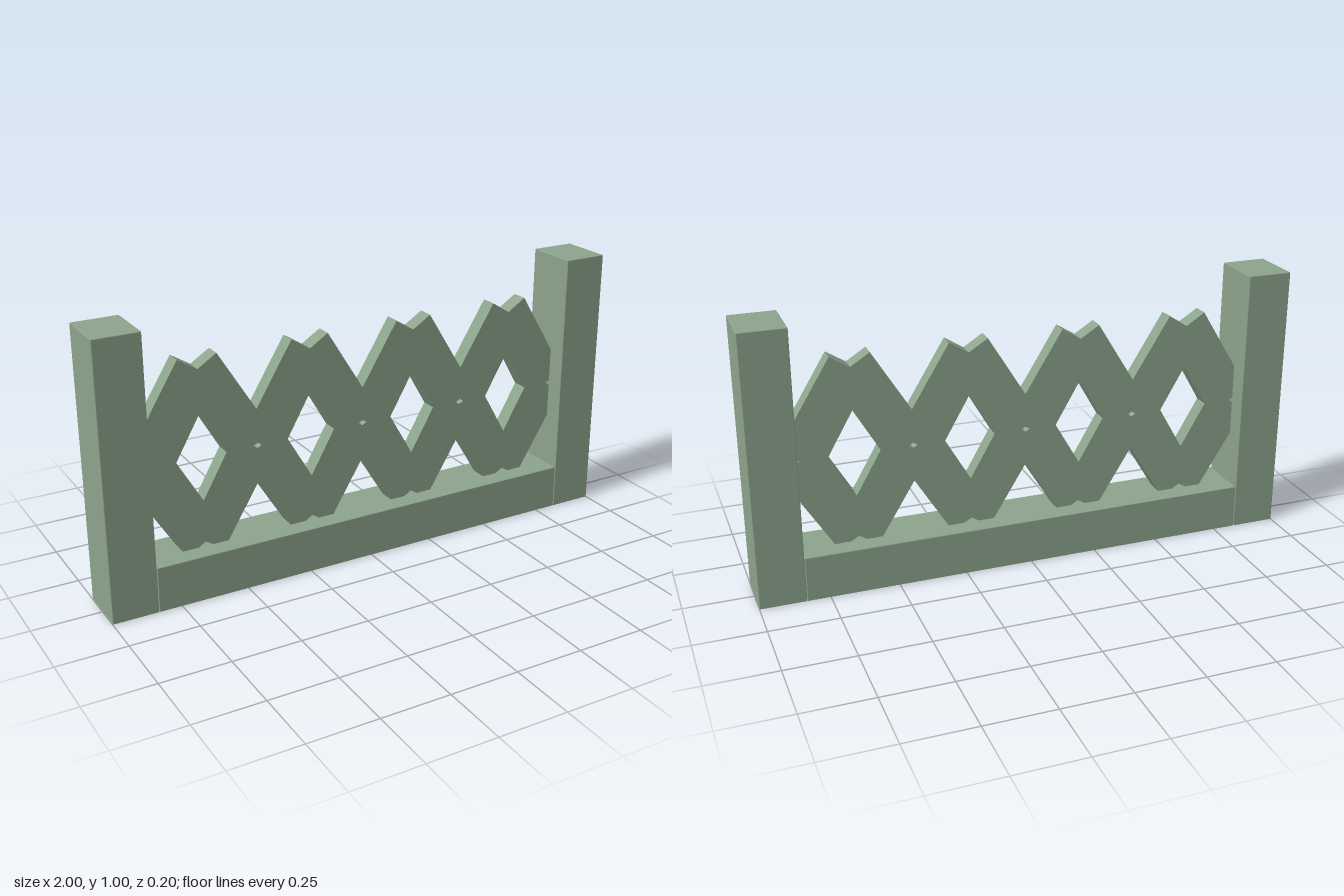
import * as THREE from 'three';
import { RoundedBoxGeometry } from 'three/addons/geometries/RoundedBoxGeometry.js';

const CELLS = 4;
const INNER = 0.833; // half width between the posts
const PITCH = (2 * INNER) / CELLS;
const MID = 0.5; // height of the lattice centre line
const THICKNESS = 0.06;

function diamond(x, halfWidth, halfHeight) {
  const hole = new THREE.Path();
  hole.moveTo(x - halfWidth, MID);
  hole.lineTo(x, MID - halfHeight);
  hole.lineTo(x + halfWidth, MID);
  hole.lineTo(x, MID + halfHeight);
  hole.closePath();
  return hole;
}

// Crossed slats as one pierced outline, mirrored about the centre line
function latticeGeometry() {
  const upper = [];
  const holes = [];
  for (let i = 0; i < CELLS; i++) {
    const c = -INNER + PITCH * (i + 0.5);
    upper.push([c - PITCH / 2, 0.135], [c - 0.07, 0.36], [c, 0.316], [c + 0.07, 0.36]);
    holes.push(diamond(c, 0.092, 0.16));
    if (i > 0) holes.push(diamond(c - PITCH / 2, 0.016, 0.01));
  }
  upper.push([INNER, 0.135]);

  const points = [
    // small half notch where each end meets its post
    [-INNER, -0.01], [-INNER + 0.016, 0], [-INNER, 0.01],
    ...upper,
    [INNER, 0.01], [INNER - 0.016, 0], [INNER, -0.01],
    ...upper.map(([x, y]) => [x, -y]).reverse(),
  ].map(([x, y]) => new THREE.Vector2(x, y + MID));

  const shape = new THREE.Shape(points);
  shape.holes.push(...holes);
  const geometry = new THREE.ExtrudeGeometry(shape, { depth: THICKNESS, bevelEnabled: false });
  return geometry.translate(0, 0, -THICKNESS / 2);
}

export function createModel() {
  const group = new THREE.Group();
  group.name = 'latticeFence';
  const paint = new THREE.MeshStandardMaterial({ color: 0x8ca48c });
  paint.name = 'sage green';

  function add(name, geometry, x = 0, y = 0) {
    const mesh = new THREE.Mesh(geometry, paint);
    mesh.name = name;
    mesh.position.set(x, y, 0);
    group.add(mesh);
  }

  // End posts
  const post = new RoundedBoxGeometry(0.166, 1, 0.2, 1, 0.003);
  add('leftPost', post, 0.917, 0.5);
  add('rightPost', post, -0.917, 0.5);

  // Bottom rail between the posts
  add('bottomRail', new RoundedBoxGeometry(2 * INNER, 0.167, 0.2, 1, 0.003), 0, 0.0835);

  // Lattice panel
  add('latticePanel', latticeGeometry());

  return group;
}
